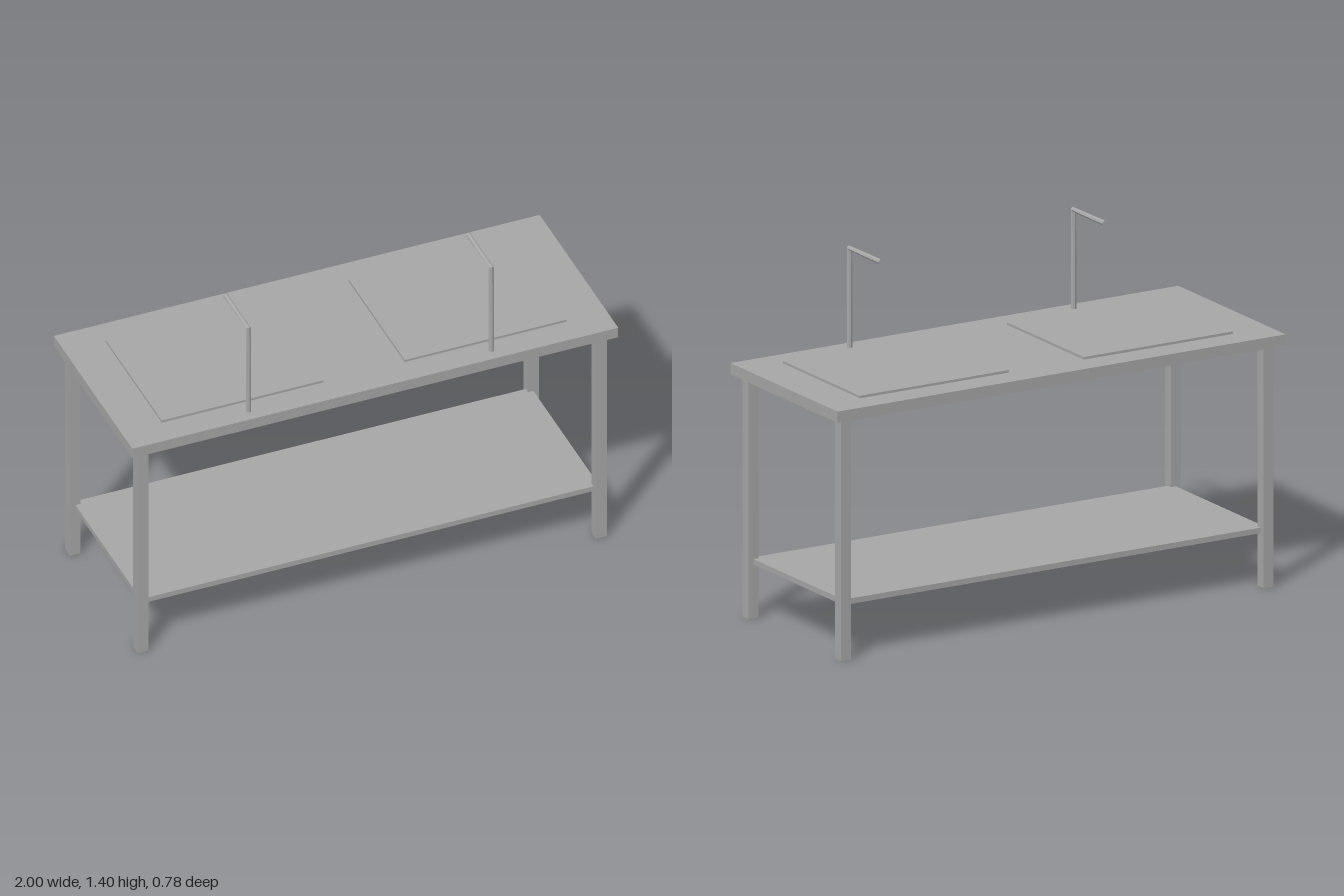
import * as THREE from 'three';

const steel = new THREE.MeshStandardMaterial({ color: 0xa8a8a8 });
steel.name = 'brushed steel';

// Box given by its size, centre and underside height
function addBox(parent, name, [w, h, d], [x, bottom, z]) {
  const mesh = new THREE.Mesh(new THREE.BoxGeometry(w, h, d), steel);
  mesh.name = name;
  mesh.position.set(x, bottom + h / 2, z);
  parent.add(mesh);
}

// Thin pipe rising from the worktop, then bent back over the basin with a mitred corner
function faucetGeometry() {
  const r = 0.011, top = 0.392, reach = 0.225;
  const geometry = new THREE.CylinderGeometry(r, r, 2, 8, 2);
  const p = geometry.attributes.position;
  for (let i = 0; i < p.count; i++) {
    const row = Math.round(p.getY(i)) + 1; // 0 foot, 1 corner, 2 spout end
    const b = p.getZ(i);
    if (row === 0) p.setXYZ(i, p.getX(i), 0, b);
    else if (row === 1) p.setXYZ(i, p.getX(i), top + b * Math.SQRT1_2, b * Math.SQRT1_2);
    else p.setXYZ(i, p.getX(i), top + b, -reach);
  }
  const flat = geometry.toNonIndexed();
  flat.computeVertexNormals();
  return flat;
}

export function createModel() {
  const table = new THREE.Group();
  table.name = 'sinkTable';

  addBox(table, 'worktop', [2, 0.045, 0.776], [0, 0.955, 0]);
  addBox(table, 'lowerShelf', [1.885, 0.022, 0.67], [0, 0.212, 0]);

  const faucet = faucetGeometry();
  for (const side of [-1, 1]) {
    const label = side > 0 ? 'left' : 'right';
    // Legs
    addBox(table, label + 'FrontLeg', [0.045, 0.955, 0.045], [side * 0.943, 0, 0.335]);
    addBox(table, label + 'BackLeg', [0.045, 0.955, 0.045], [side * 0.943, 0, -0.335]);
    // Raised basin cover
    addBox(table, label + 'BasinCover', [0.666, 0.01, 0.556], [side * 0.5, 1, 0]);
    // Faucet
    const pipe = new THREE.Mesh(faucet, steel);
    pipe.name = label + 'Faucet';
    pipe.position.set(side * 0.5, 1, 0.335);
    table.add(pipe);
  }
  return table;
}
